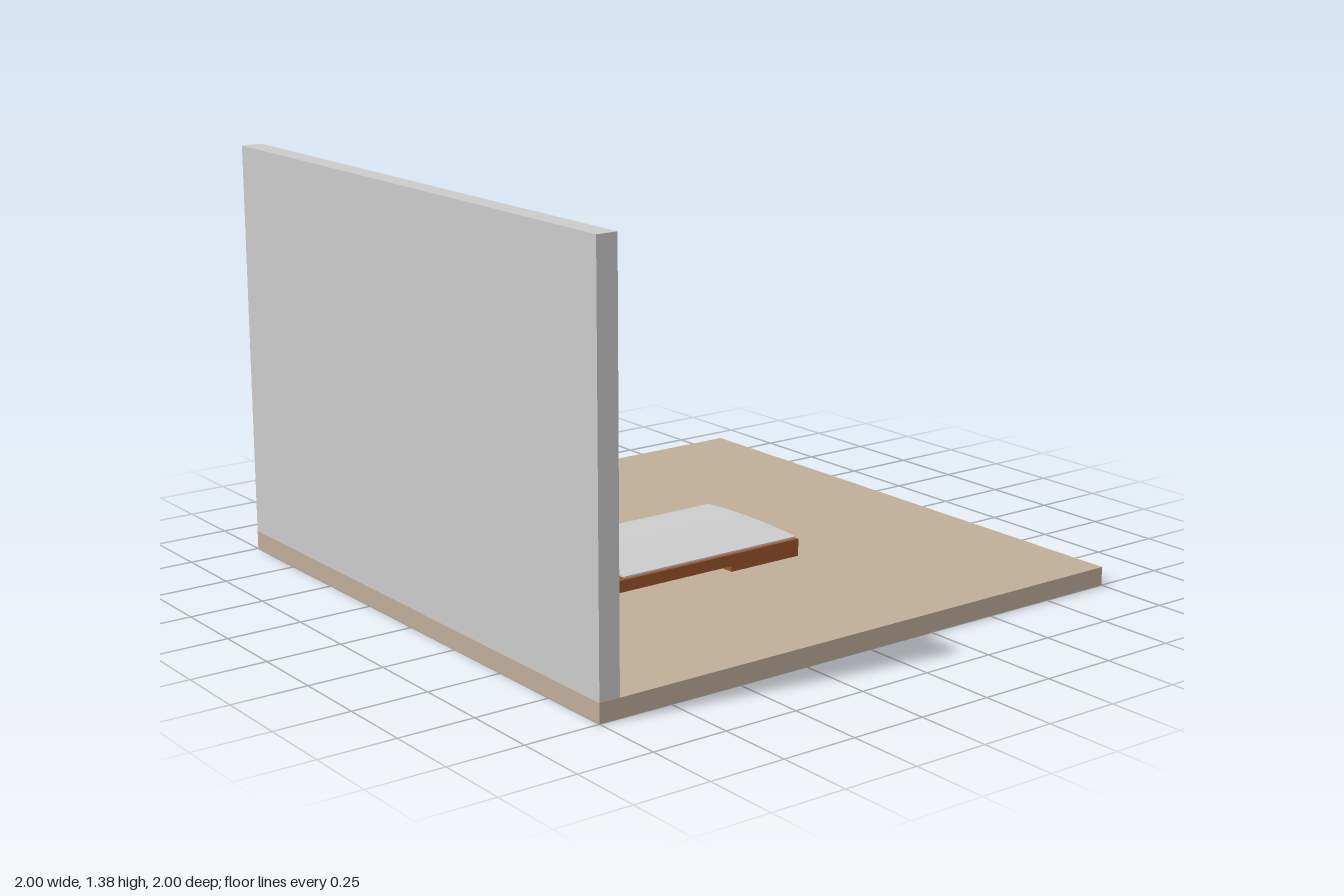
import * as THREE from 'three';
import { toCreasedNormals } from 'three/addons/utils/BufferGeometryUtils.js';

const grey = new THREE.MeshStandardMaterial({ color: 0xcccccc });
const floorTan = new THREE.MeshStandardMaterial({ color: 0xbead98 });
const wood = new THREE.MeshStandardMaterial({ color: 0x9a552b });

const BED_Z = 0.07; // centre line of the bed

function add(parent, name, geometry, material, x = 0, y = 0, z = 0) {
  const mesh = new THREE.Mesh(geometry, material);
  mesh.name = name;
  mesh.position.set(x, y, z);
  parent.add(mesh);
  return mesh;
}

// Moves every vertex of a geometry by a rule
function reshape(geometry, rule) {
  const pos = geometry.attributes.position;
  const v = new THREE.Vector3();
  for (let i = 0; i < pos.count; i++) {
    rule(v.fromBufferAttribute(pos, i));
    pos.setXYZ(i, v.x, v.y, v.z);
  }
  return toCreasedNormals(geometry, 0.7);
}

// Low platform with a raised underside between head and foot blocks
function frameGeometry() {
  const side = new THREE.Shape([
    [-0.83, 0.068], [-0.55, 0.068], [-0.55, 0.081], [0.01, 0.081],
    [0.01, 0.062], [0.29, 0.062], [0.29, 0.12], [-0.83, 0.12],
  ].map(([x, y]) => new THREE.Vector2(x, y)));
  const depth = 0.49;
  return new THREE.ExtrudeGeometry(side, { depth, bevelEnabled: false })
    .translate(0, 0, -depth / 2);
}

// Thin cover, gently arched across the bed
function blanketGeometry() {
  const halfDepth = 0.232;
  return reshape(new THREE.BoxGeometry(0.695, 0.006, halfDepth * 2, 1, 1, 24), (v) => {
    if (v.y > 0) v.y += 0.008 * (1 - (v.z / halfDepth) ** 2);
  });
}

// Cushion that tapers to both ends and has softened long edges
function pillowGeometry() {
  const hx = 0.0975, hy = 0.0225, hz = 0.17;
  return reshape(new THREE.BoxGeometry(hx * 2, hy * 2, hz * 2, 12, 4, 16), (v) => {
    const t = Math.abs(v.z) / hz;
    const u = v.x / hx, w = v.y / hy;
    v.x *= (1 - 0.17 * t) * (1 - 0.07 * w * w);
    v.y *= (1 - 0.5 * t * t) * (1 - 0.25 * u ** 4);
  });
}

export function createModel() {
  const model = new THREE.Group();
  model.name = 'bedroomCorner';

  // Room
  add(model, 'floor', new THREE.BoxGeometry(2, 0.062, 2), floorTan, 0, 0.031, 0);
  add(model, 'wall', new THREE.BoxGeometry(0.07, 1.318, 2), grey, -0.965, 0.721, 0);

  // Bed
  const bed = new THREE.Group();
  bed.name = 'bed';
  bed.position.z = BED_Z;
  model.add(bed);
  add(bed, 'bedFrame', frameGeometry(), wood);
  add(bed, 'blanket', blanketGeometry(), grey, -0.0575, 0.1225, -0.001);
  add(bed, 'pillow', pillowGeometry(), grey, -0.7025, 0.1425, 0);

  return model;
}
